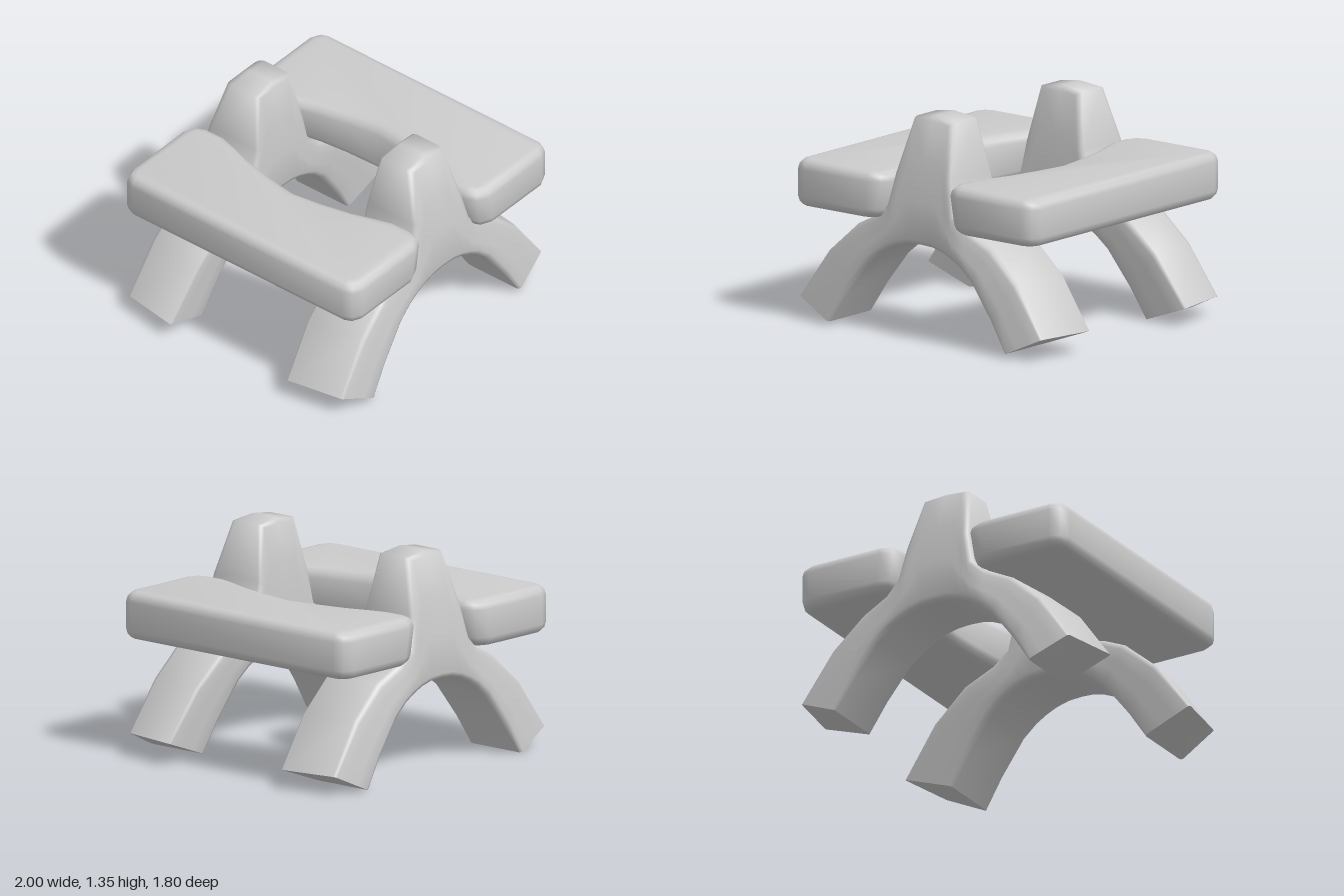
import * as THREE from 'three';
import { toCreasedNormals } from 'three/addons/utils/BufferGeometryUtils.js';

const material = new THREE.MeshStandardMaterial({ color: 0xcccccc });

// Half of the frame's outline: [lower x, lower y, upper x, upper y, slant of the upper surface, edge rounding]
const STATIONS = [
  [0.68, 0.023, 1.0, 0.14, 0.06, 0.018], [0.56, 0.205, 0.78, 0.445, 0.05, 0.03],
  [0.40, 0.415, 0.56, 0.635, 0.04, 0.035], [0.31, 0.49, 0.37, 0.72, 0.02, 0.035],
  [0.24, 0.53, 0.265, 0.80, 0, 0.035], [0.17, 0.56, 0.22, 1.0, 0, 0.035],
  [0.09, 0.58, 0.155, 1.33, 0, 0.035], [0, 0.585, 0, 1.355, 0, 0.035],
];
// Depth limits by height
const Z_OUT = [[0, 0.86], [0.6, 0.84], [0.8, 0.825], [1, 0.80], [1.29, 0.73], [1.36, 0.68]];
const Z_IN = [[0, 0.45], [0.6, 0.40], [1, 0.41], [1.29, 0.45], [1.36, 0.48]];

function lookUp(table, y) {
  for (let i = 1; i < table.length; i++) {
    const [y0, a] = table[i - 1], [y1, b] = table[i];
    if (y <= y1) return a + (b - a) * Math.max(0, (y - y0) / (y1 - y0));
  }
  return table[table.length - 1][1];
}

// Unit normals of a polyline, pointing to its left
function normalsOf(points) {
  return points.map((p, i) => {
    const t = points[Math.min(i + 1, points.length - 1)].clone().sub(points[Math.max(i - 1, 0)]).normalize();
    return new THREE.Vector2(-t.y, t.x);
  });
}

// Arched legs and central post, lofted from rounded rings running foot to foot
function frameGeometry() {
  const rows = [
    ...STATIONS.map(([a, b, c, d, ...rest]) => [-a, b, -c, d, ...rest]),
    ...STATIONS.slice(0, -1).reverse(),
  ];
  const lower = rows.map(r => new THREE.Vector2(r[0], r[1]));
  const upper = rows.map(r => new THREE.Vector2(r[2], r[3]));
  const nLower = normalsOf(lower), nUpper = normalsOf(upper);
  // At the feet the rounding stays in the plane of the sole
  for (const i of [0, rows.length - 1]) {
    nLower[i].copy(upper[i]).sub(lower[i]).normalize();
    nUpper[i].copy(nLower[i]);
  }

  const rings = rows.map((row, i) => {
    const slant = row[4], B = row[5], C = B * 0.3;
    const drop = Math.min(0.035, slant);
    const low = d => lower[i].clone().addScaledVector(nLower[i], d);
    const up = d => upper[i].clone().addScaledVector(nUpper[i], -d);
    // Upper edge on the outer side, drawn in towards the middle
    const slanted = d => {
      const p = up(d);
      p.x -= Math.sign(p.x) * slant;
      return p;
    };
    const ring = [];
    const inside = (p, d) => ring.push([p.x, p.y, lookUp(Z_IN, p.y) + d]);
    const outside = (p, d) => ring.push([p.x, p.y, lookUp(Z_OUT, p.y) - d]);
    inside(low(0), B); outside(low(0), B); outside(low(C), C);
    for (const t of [0, 0.33, 0.67, 1]) outside(low(B).lerp(slanted(B), t), drop * t);
    outside(slanted(C), C + drop); outside(slanted(0), B + drop);
    inside(up(0), B * 0.6); inside(up(C), C * 0.6);
    for (const t of [1, 0.67, 0.33, 0]) inside(low(B).lerp(up(B), t), 0);
    inside(low(C), C);
    return ring;
  });

  const n = rings[0].length, positions = rings.flat(2), index = [];
  for (let i = 0; i < rings.length - 1; i++) {
    for (let j = 0; j < n; j++) {
      const k = (j + 1) % n, a = i * n + j, b = a + n, c = i * n + k, d = c + n;
      index.push(a, b, c, b, d, c);
    }
  }
  // Soles of the feet
  for (const i of [0, rings.length - 1]) {
    const centre = positions.length / 3;
    for (let axis = 0; axis < 3; axis++) positions.push(rings[i].reduce((sum, p) => sum + p[axis], 0) / n);
    for (let j = 0; j < n; j++) {
      const a = i * n + j, b = i * n + (j + 1) % n;
      index.push(centre, ...(i === 0 ? [a, b] : [b, a]));
    }
  }
  const geometry = new THREE.BufferGeometry();
  geometry.setAttribute('position', new THREE.Float32BufferAttribute(positions, 3));
  geometry.setIndex(index);
  return toCreasedNormals(geometry, 1.3);
}

// Board with a waisted inner edge
function boardGeometry() {
  const half = [
    [0.932, 0.81], [0.905, 0.87], [0.84, 0.9], [0.35, 0.9], [0.27, 0.865], [0.24, 0.79],
    [0.24, 0.66], [0.265, 0.55], [0.305, 0.4], [0.335, 0.2],
  ];
  const outline = [...half, [0.352, 0], ...half.map(([x, z]) => [x, -z]).reverse()];
  const shape = new THREE.Shape(outline.map(([x, z]) => new THREE.Vector2(x, z)));
  const bevel = 0.06, height = 0.293, bottom = 0.704;
  const geometry = new THREE.ExtrudeGeometry(shape, {
    depth: height - 2 * bevel, bevelEnabled: true, bevelSize: bevel, bevelThickness: bevel,
    bevelOffset: -bevel, bevelSegments: 3,
  });
  geometry.rotateX(-Math.PI / 2).translate(0, bottom + bevel, 0);
  // The inner side leans in at the top near the ends, and out at the top in the waist
  const p = geometry.attributes.position;
  for (let i = 0; i < p.count; i++) {
    if (p.getX(i) > 0.5) continue;
    const rise = (p.getY(i) - bottom) / height;
    const waist = Math.max(0, 1 - Math.abs(p.getZ(i)) / 0.65);
    const lean = (1 - waist) * 0.04 * Math.max(0, 1 - rise / 0.75) + waist * 0.06 * Math.max(0, rise - 0.2);
    p.setX(i, p.getX(i) + lean);
  }
  return toCreasedNormals(geometry, 0.9);
}

export function createModel() {
  const model = new THREE.Group();
  const frame = frameGeometry(), board = boardGeometry();
  const add = (name, geometry, turned) => {
    const mesh = new THREE.Mesh(geometry, material);
    mesh.name = name;
    if (turned) mesh.rotation.y = Math.PI;
    model.add(mesh);
    return mesh;
  };
  add('frontFrame', frame, false);
  add('backFrame', frame, true).position.set(0, -0.022, -0.015);
  add('leftBoard', board, false);
  add('rightBoard', board, true);
  return model;
}
